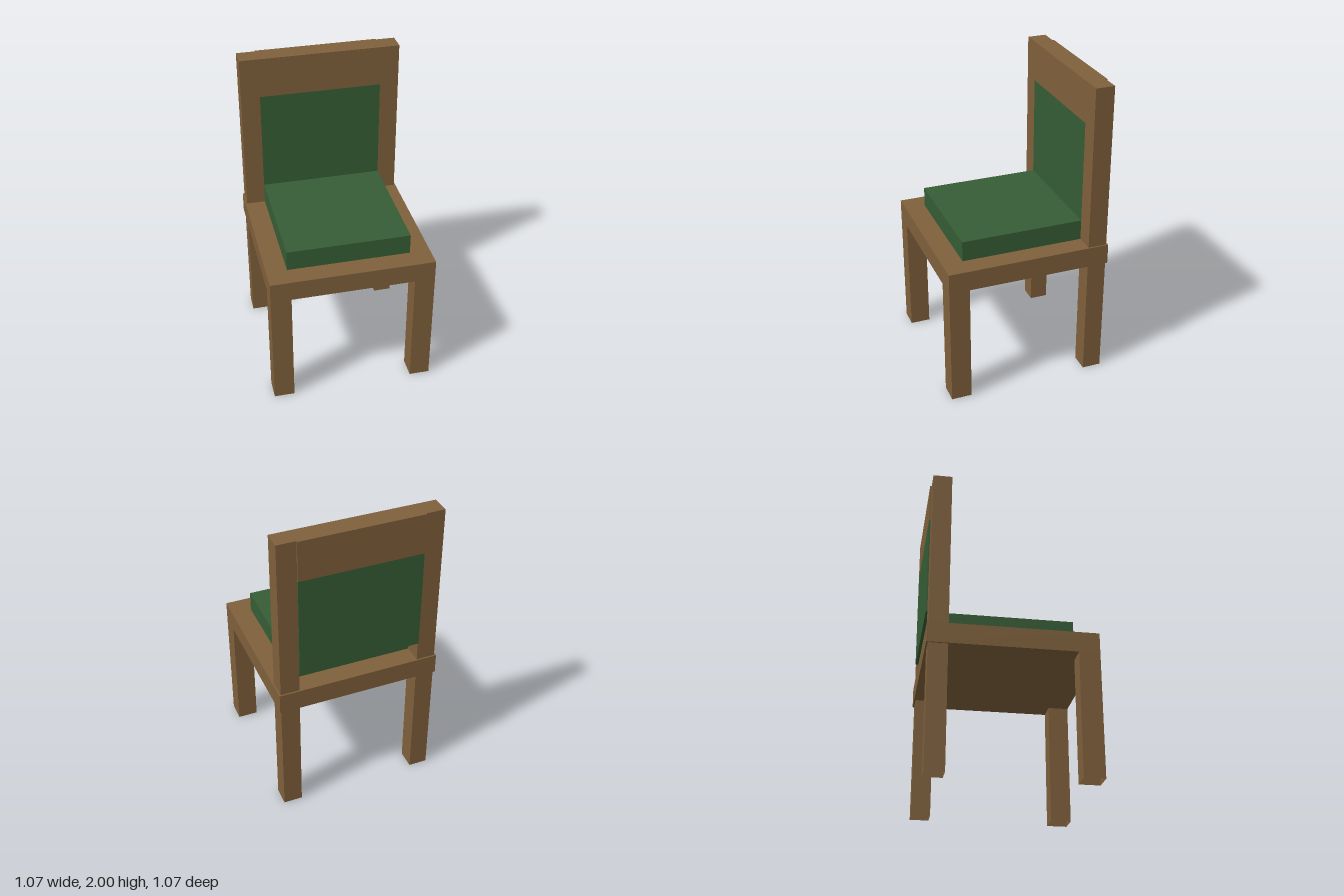
import * as THREE from 'three';

export function createModel() {
  const wood = new THREE.MeshStandardMaterial({ color: 0x7f603b, side: THREE.DoubleSide });
  wood.name = 'brown wood';
  const fabric = new THREE.MeshStandardMaterial({ color: 0x365d35 });
  fabric.name = 'green fabric';

  const chair = new THREE.Group();
  chair.name = 'chair';

  // Box given by its lower and upper corners
  function block(name, material, [x0, y0, z0], [x1, y1, z1], openBottom = false) {
    const geometry = new THREE.BoxGeometry(x1 - x0, y1 - y0, z1 - z0);
    if (openBottom) {
      // drop the six indices of the -y face
      const index = Array.from(geometry.index.array);
      index.splice(18, 6);
      geometry.setIndex(index);
      geometry.clearGroups();
    }
    const mesh = new THREE.Mesh(geometry, material);
    mesh.name = name;
    mesh.position.set((x0 + x1) / 2, (y0 + y1) / 2, (z0 + z1) / 2);
    chair.add(mesh);
  }

  const inner = 0.4, outer = 0.533, post = 0.523;
  const seatBottom = 0.8, seatTop = 0.933, cushionTop = 1.067, padTop = 1.735;

  // Seat and cushion
  block('seat', wood, [-outer, seatBottom, -outer], [outer, seatTop, outer]);
  block('cushion', fabric, [-inner, seatTop, -inner], [inner, cushionTop, inner]);

  // Hollow legs; the back ones run up as posts above the seat
  for (const [side, s] of [['left', 1], ['right', -1]]) {
    const span = (a, b) => (s > 0 ? [a, b] : [-b, -a]);
    const [f0, f1] = span(inner, outer);
    const [b0, b1] = span(inner, post);
    block(side + 'FrontLeg', wood, [f0, 0, inner], [f1, seatBottom, outer], true);
    block(side + 'BackLeg', wood, [b0, 0, -post], [b1, seatBottom, -inner], true);
    block(side + 'BackPost', wood, [b0, seatTop, -post], [b1, 2, -inner]);
  }

  // Backrest: upholstered panel with a wooden top rail
  block('backPad', fabric, [-inner, cushionTop, -outer], [inner, padTop, -inner]);
  block('topRail', wood, [-inner, padTop, -outer], [inner, 2, -inner]);

  return chair;
}
